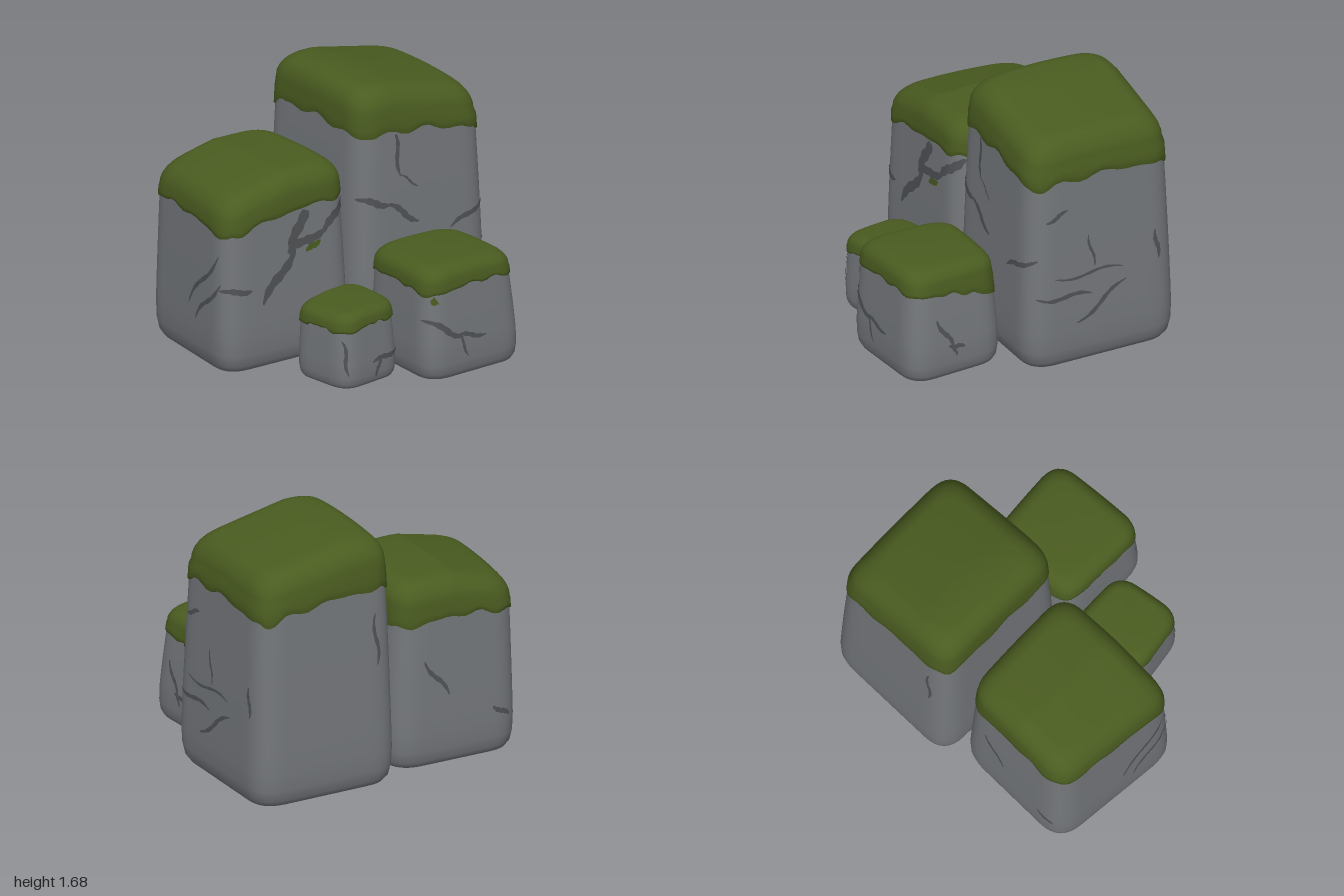
import * as THREE from 'three';

const stone = new THREE.MeshStandardMaterial({ color: 0x74777b });
stone.name = 'stone grey';
const moss = new THREE.MeshStandardMaterial({ color: 0x4a5c20, side: THREE.DoubleSide });
moss.name = 'moss green';
const shade = new THREE.MeshStandardMaterial({ color: 0x505255, side: THREE.DoubleSide });
shade.name = 'crack grey';

const N = 80; // columns around each rock

// Skin a stack of closed rings, listed from bottom to top
function skin(rings, material, name) {
  const index = [];
  for (let i = 0; i < rings.length - 1; i++) {
    for (let k = 0; k < N; k++) {
      const a = i * N + k, b = i * N + (k + 1) % N;
      index.push(a, a + N, b, b, a + N, b + N);
    }
  }
  return surface(rings.flat(2), index, material, name);
}

function surface(positions, index, material, name) {
  const g = new THREE.BufferGeometry();
  g.setAttribute('position', new THREE.Float32BufferAttribute(positions, 3));
  g.setIndex(index);
  g.computeVertexNormals();
  const mesh = new THREE.Mesh(g, material);
  mesh.name = name;
  return mesh;
}

// Side of a rock: ray direction and ray start for a point on that side
const sides = {
  front: { dir: [0, 0, -1], from: (a, y) => [a, y, 3] },
  back: { dir: [0, 0, 1], from: (a, y) => [a, y, -3] },
  right: { dir: [-1, 0, 0], from: (a, y) => [3, y, a] },
  left: { dir: [1, 0, 0], from: (a, y) => [-3, y, a] },
};

// Wavy tapered ribbon laid on the rock, from (a0, y0) to (a1, y1)
function ribbon(target, material, name, side, width, a0, y0, a1, y1) {
  const { dir, from } = sides[side];
  const ray = new THREE.Raycaster();
  const project = (a, y) => {
    ray.set(new THREE.Vector3(...from(a, y)), new THREE.Vector3(...dir));
    const hit = ray.intersectObject(target)[0];
    return hit && hit.point.addScaledVector(hit.face.normal, 0.005);
  };
  const da = a1 - a0, dy = y1 - y0, length = Math.hypot(da, dy);
  const pos = [], index = [], steps = 20;
  for (let i = 0; i <= steps; i++) {
    const t = i / steps;
    const bend = 0.04 * length * Math.sin(t * Math.PI * 2);
    const w = width * (0.08 + 0.42 * Math.sin(Math.PI * t) ** 0.6) * (1 + 0.15 * Math.sin(i * 1.3));
    const row = [-1, 0, 1].map(s => {
      const off = (bend + w * s) / length;
      return project(a0 + da * t - dy * off, y0 + dy * t + da * off);
    });
    if (row.every(Boolean)) row.forEach(v => pos.push(v.x, v.y, v.z));
  }
  const flip = side === 'front' || side === 'left';
  for (let i = 0; i < pos.length / 9 - 1; i++) {
    for (let j = 0; j < 2; j++) {
      const a = i * 3 + j, b = a + 1, c = a + 3, d = a + 4;
      index.push(...(flip ? [a, c, b, b, c, d] : [a, b, c, b, d, c]));
    }
  }
  return surface(pos, index, material, name);
}

// corners: [x, z] from back left, clockwise seen from above; edge: moss edge height at each corner
function makeRock({ name, corners, cut, y0, height, scale, shift, round, edge, top, cracks, patches = [] }) {
  const points = corners.map(([x, z]) => new THREE.Vector3(x, 0, z));
  const centre = points.reduce((sum, p) => sum.addScaledVector(p, 0.25), new THREE.Vector3());

  // Outline with straight sides and rounded corners
  const toward = (p, q) => q.clone().sub(p).setLength(cut).add(p);
  const columns = Array.from({ length: N }, (_, k) => {
    const i = Math.floor(k / N * 4), t = k / N * 4 - i;
    const p = points[i], prev = points[(i + 3) % 4], next = points[(i + 1) % 4];
    const end = toward(p, next);
    if (t < 0.4) return new THREE.QuadraticBezierCurve3(toward(p, prev), p, end).getPoint(t / 0.4);
    return end.lerp(toward(next, p), (t - 0.4) / 0.6);
  });
  const ring = fn => columns.map((_, k) => fn(k));

  // Point on the tapered outline at height y, scaled by s and grown by out
  const at = (k, y, s, out = 0) => {
    const f = Math.min(1, Math.max(0, y / height)) ** 1.4;
    const d = columns[k].clone().sub(centre);
    d.multiplyScalar(s * (1 + out / d.length()) * (1 + (scale - 1) * f));
    return [centre.x + shift * f + d.x, y, centre.z + d.z];
  };
  const onTop = (k, s, out, drop) => {
    const [x, , z] = at(k, height, s, out);
    return [x, top(x, z) - drop, z];
  };
  const rim = ring(k => onTop(k, 1, 0, round)[1]);

  // Ragged moss edge, hanging lower at the corners
  const hem = ring(k => {
    const t = (k / N * 4 + 3.8) % 4, i = Math.floor(t);
    const y = THREE.MathUtils.lerp(edge[i], edge[(i + 1) % 4], t - i);
    const wave = 0.35 * Math.sin((t - i) * Math.PI);
    const ragged = 0.07 * Math.sin(k * 1.3 + cut * 40) + 0.08 * Math.sin(k * Math.PI * 0.3 + height * 9);
    return Math.min(y + round * (wave + ragged), rim[k] - 0.01);
  });

  // Flat base, bevel and side up to the moss
  const size = Math.min(1, height * 1.3), y1 = y0 + 0.24 * size;
  const body = [[0, 0], [0.5, 0], [0.8, 0], [0.91, 0.022], [0.96, 0.06], [0.988, 0.13], [1, 0.24]]
    .map(([s, h]) => ring(k => at(k, y0 + h * size, s)));
  for (let i = 1; i <= 8; i++) body.push(ring(k => at(k, y1 + (hem[k] - y1) * i / 8, 1)));

  // Moss lip, side, rounded shoulder and top
  const cap = [ring(k => at(k, hem[k], 0.995))];
  for (const t of [0.02, 0.35, 0.7]) cap.push(ring(k => at(k, hem[k] + (rim[k] - hem[k]) * t, 1, 0.01)));
  for (let i = 0; i <= 7; i++) {
    const a = i / 7 * Math.PI / 2;
    cap.push(ring(k => onTop(k, 0.7 + 0.3 * Math.cos(a), 0.01, round * (1 - Math.sin(a)))));
  }
  for (const s of [0.5, 0.25, 0]) cap.push(ring(k => onTop(k, s, 0, 0)));

  const group = new THREE.Group();
  group.name = name;
  const stoneMesh = skin(body, stone, 'stoneBody');
  group.add(stoneMesh, skin(cap, moss, 'mossCap'));
  for (const c of cracks) group.add(ribbon(stoneMesh, shade, 'crack', ...c));
  for (const p of patches) group.add(ribbon(stoneMesh, moss, 'mossPatch', ...p));
  return group;
}

export function createModel() {
  const model = new THREE.Group();
  model.name = 'mossyRocks';

  model.add(makeRock({
    name: 'tallRock', y0: 0.02, height: 1.6, scale: 0.9, shift: -0.01, round: 0.15, cut: 0.18,
    corners: [[-0.02, -0.91], [0.98, -0.9], [1, 0.17], [-0.01, 0.165]],
    edge: [1.34, 1.24, 1.25, 1.36],
    top: (x, z) => 1.68 - 0.2 * Math.max(0, x - 0.28) - 0.12 * (z + 0.37) ** 2,
    cracks: [
      ['front', 0.045, 0.03, 0.97, 0.24, 0.91],
      ['front', 0.04, 0.22, 0.92, 0.45, 0.76],
      ['front', 0.03, 0.28, 1.39, 0.32, 1.08],
      ['front', 0.015, 0.32, 1.09, 0.45, 0.99],
      ['front', 0.035, 0.95, 0.79, 0.68, 0.67],
      ['right', 0.03, 0.1, 0.53, -0.28, 0.5],
      ['right', 0.03, -0.17, 0.32, -0.52, 0.54],
      ['right', 0.02, -0.02, 0.65, -0.5, 0.63],
      ['right', 0.02, -0.3, 0.68, -0.26, 0.9],
      ['right', 0.03, 0.03, 1.04, -0.12, 1.1],
      ['right', 0.03, -0.73, 0.82, -0.75, 0.62],
      ['back', 0.025, 0.15, 1.2, 0.14, 0.85],
    ],
  }));

  model.add(makeRock({
    name: 'mediumRock', y0: 0.02, height: 1.15, scale: 0.92, shift: -0.015, round: 0.13, cut: 0.18,
    corners: [[-0.92, -0.82], [-0.04, -0.8], [0, 0.14], [-1, 0.15]],
    edge: [0.96, 0.97, 1.03, 0.91],
    top: (x, z) => 1.27 - 0.24 * Math.max(0, -0.5 - x) - 0.12 * (z + 0.335) ** 2,
    cracks: [
      ['front', 0.075, -0.36, 1.08, -0.5, 0.74],
      ['front', 0.065, -0.46, 0.78, -0.71, 0.46],
      ['front', 0.06, -0.52, 0.76, -0.22, 0.86],
      ['front', 0.06, -0.25, 0.83, -0.07, 1.02],
      ['front', 0.04, -0.97, 0.58, -0.79, 0.57],
      ['back', 0.03, -0.25, 0.75, -0.42, 0.5],
      ['back', 0.035, -0.72, 0.36, -0.84, 0.28],
      ['left', 0.03, -0.3, 0.4, 0.03, 0.8],
      ['left', 0.03, -0.22, 0.32, 0.05, 0.62],
    ],
    patches: [['front', 0.045, -0.38, 0.74, -0.27, 0.79]],
  }));

  model.add(makeRock({
    name: 'smallRock', y0: 0, height: 0.66, scale: 0.89, shift: -0.02, round: 0.09, cut: 0.17,
    corners: [[0, 0.17], [0.71, 0.165], [0.77, 0.86], [0, 0.91]],
    edge: [0.57, 0.47, 0.58, 0.56],
    top: (x, z) => 0.745 - 0.15 * (x - 0.35) ** 2 - 0.1 * (z - 0.54) ** 2,
    cracks: [
      ['front', 0.04, 0.02, 0.41, 0.27, 0.27],
      ['front', 0.03, 0.22, 0.29, 0.45, 0.25],
      ['front', 0.02, 0.24, 0.29, 0.31, 0.14],
      ['right', 0.03, 0.67, 0.42, 0.55, 0.21],
      ['right', 0.03, 0.59, 0.23, 0.47, 0.2],
      ['right', 0.02, 0.57, 0.24, 0.53, 0.15],
    ],
    patches: [['front', 0.07, 0.06, 0.52, 0.19, 0.59]],
  }));

  model.add(makeRock({
    name: 'tinyRock', y0: 0, height: 0.45, scale: 0.91, shift: -0.01, round: 0.07, cut: 0.14,
    corners: [[-0.57, 0.23], [-0.02, 0.13], [0, 0.63], [-0.49, 0.71]],
    edge: [0.36, 0.36, 0.39, 0.37],
    top: (x, z) => 0.505 - 0.1 * Math.max(0, -0.3 - x) - 0.1 * (z - 0.42) ** 2,
    cracks: [
      ['front', 0.035, -0.03, 0.18, -0.26, 0.15],
      ['front', 0.025, -0.19, 0.18, -0.23, 0.05],
      ['front', 0.02, -0.47, 0.33, -0.44, 0.1],
    ],
  }));

  return model;
}
